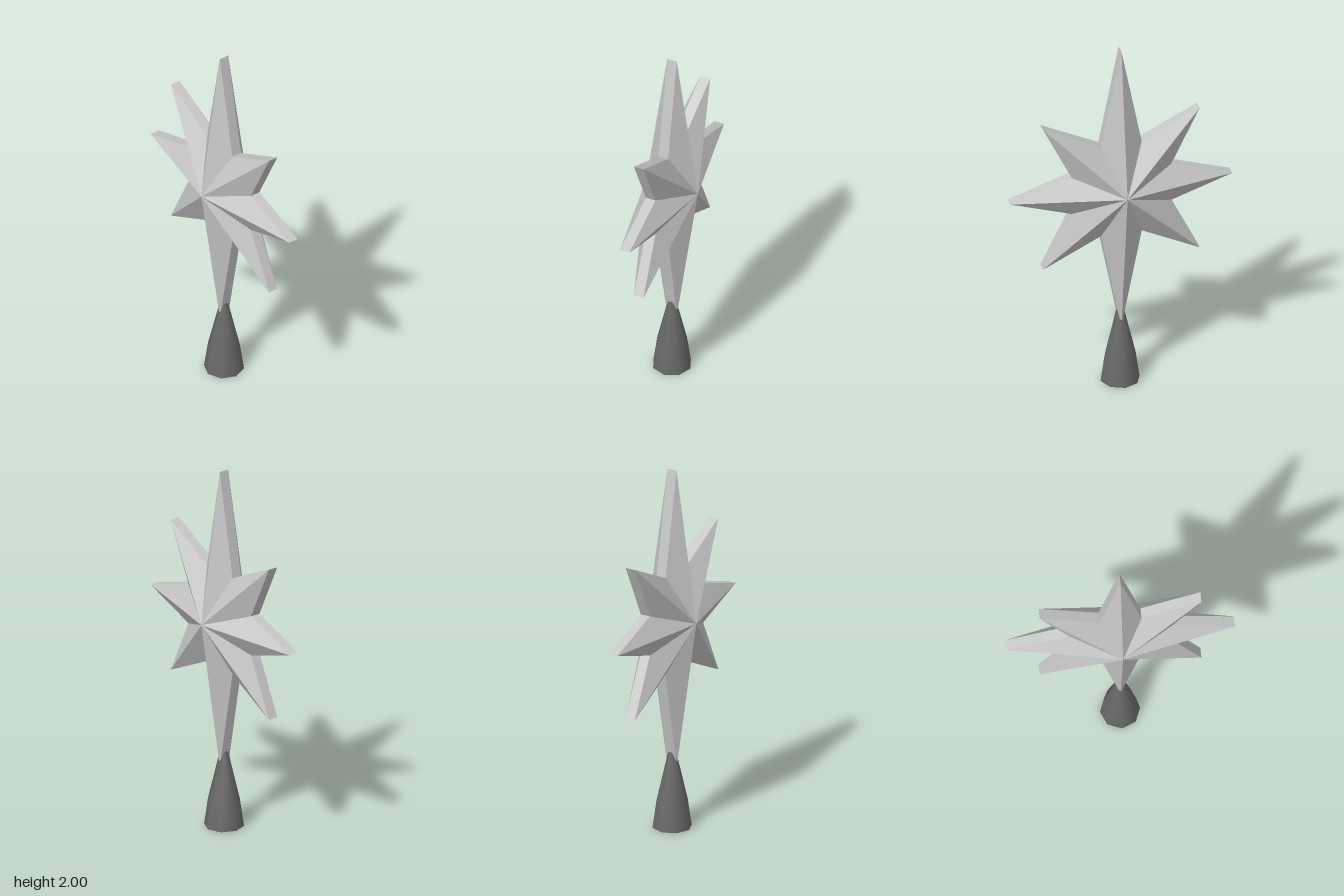
import * as THREE from 'three';

const CENTRE_Y = 1.165;
const RIM = 0.0275;  // half thickness at the outline
const PEAK = 0.148;  // half thickness at the centre

export function createModel() {
  const model = new THREE.Group();
  model.name = 'treeTopper';
  const silver = new THREE.MeshStandardMaterial({ color: 0xc6c6c6 });
  silver.name = 'silver';
  silver.flatShading = true;
  const darkGrey = new THREE.MeshStandardMaterial({ color: 0x686868 });
  darkGrey.name = 'dark grey';

  // Outline of one quarter, mirrored into the eight points of the star
  const quarter = [[0.6, 0], [0.27, 0.11], [0.424, 0.424], [0.11, 0.27], [0, 0.835]];
  const left = quarter.slice(0, 4).reverse().map(([x, y]) => [-x, y]);
  const upper = [...quarter, ...left];
  const lower = upper.slice(1, -1).reverse().map(([x, y]) => [x, -y]);
  const outline = [...upper, ...lower];

  // Faceted star: front and back fans joined by a flat rim
  const positions = [];
  const tri = (...corners) => corners.forEach((c) => positions.push(...c));
  outline.forEach(([ax, ay], i) => {
    const [bx, by] = outline[(i + 1) % outline.length];
    const aF = [ax, ay, RIM], bF = [bx, by, RIM];
    const aB = [ax, ay, -RIM], bB = [bx, by, -RIM];
    tri([0, 0, PEAK], aF, bF);
    tri([0, 0, -PEAK], bB, aB);
    tri(aF, aB, bB);
    tri(aF, bB, bF);
  });
  const starGeometry = new THREE.BufferGeometry();
  starGeometry.setAttribute('position', new THREE.Float32BufferAttribute(positions, 3));
  starGeometry.computeVertexNormals();
  const star = new THREE.Mesh(starGeometry, silver);
  star.name = 'star';
  star.position.y = CENTRE_Y;
  model.add(star);

  // Tapered socket below the star
  const profile = [[0.105, 0], [0.084, 0.15], [0.021, 0.42]];
  const socket = new THREE.Mesh(
    new THREE.LatheGeometry(profile.map(([r, y]) => new THREE.Vector2(r, y)), 8), darkGrey);
  socket.name = 'socket';
  model.add(socket);

  // Flat caps closing the socket
  const addCap = (name, radius, y, turn) => {
    const cap = new THREE.Mesh(new THREE.CircleGeometry(radius, 8), darkGrey);
    cap.name = name;
    cap.rotation.x = turn;
    cap.position.y = y;
    model.add(cap);
  };
  addCap('socketBase', 0.105, 0, Math.PI / 2);
  addCap('socketTop', 0.021, 0.42, -Math.PI / 2);

  return model;
}
